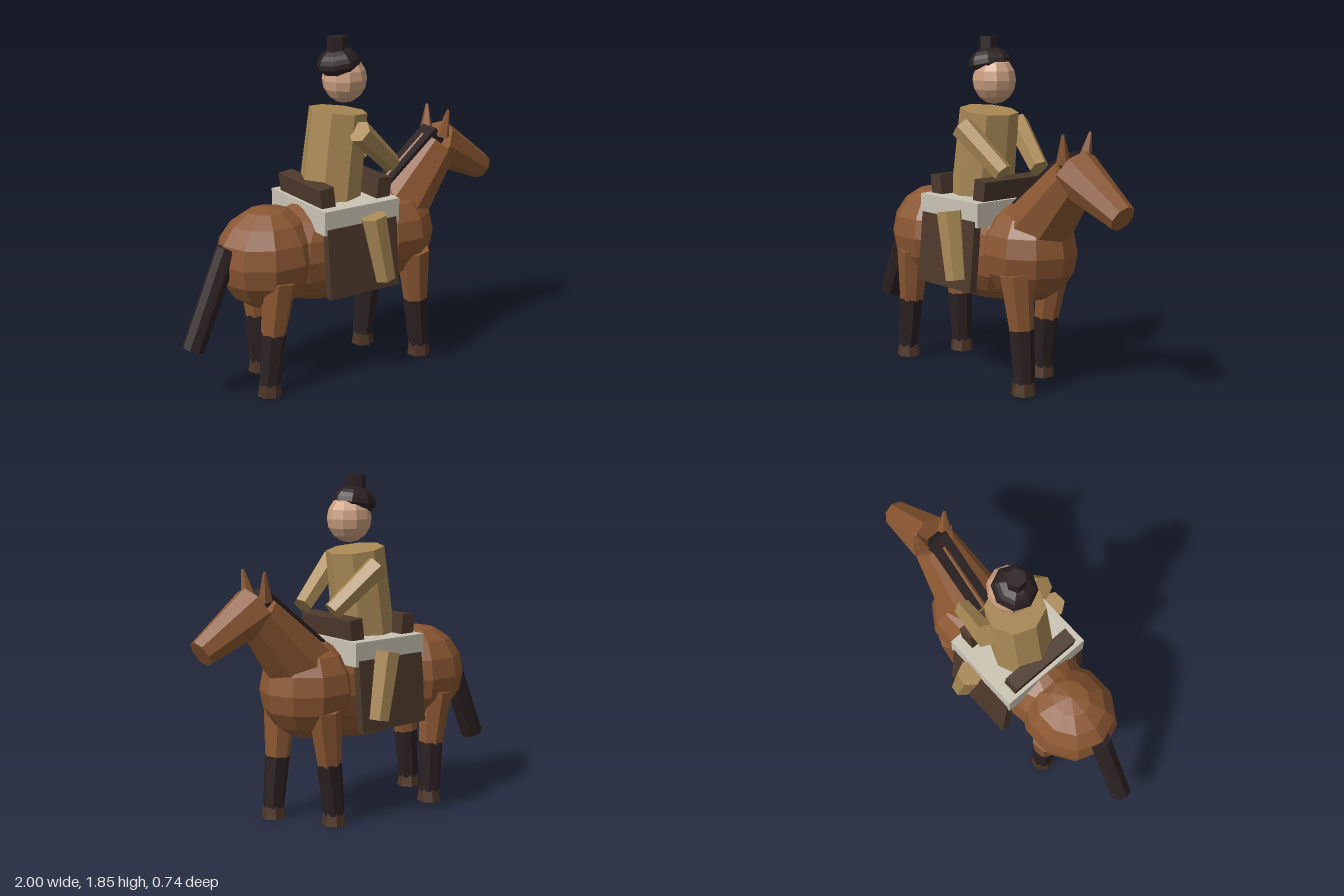
import * as THREE from 'three';

const paint = (name, color) => {
  const m = new THREE.MeshStandardMaterial({ color, flatShading: true });
  m.name = name;
  return m;
};

export function createModel() {
  const coat = paint('chestnut coat', 0x8b5732);
  const black = paint('black hair', 0x2b2022);
  const hoofBrown = paint('hoof brown', 0x4c3526);
  const leather = paint('saddle leather', 0x4d392b);
  const felt = paint('pale felt', 0xcac4b4);
  const cloth = paint('tan cloth', 0xa98955);
  const skin = paint('skin', 0xcb9f80);

  const model = new THREE.Group();
  model.name = 'horseAndRider';
  const horse = new THREE.Group();
  horse.name = 'horse';
  const saddle = new THREE.Group();
  saddle.name = 'saddle';
  const rider = new THREE.Group();
  rider.name = 'rider';
  model.add(horse, saddle, rider);

  const add = (parent, name, geo, mat, [x, y, z], rx = 0, rz = 0) => {
    const m = new THREE.Mesh(geo, mat);
    m.name = name;
    m.position.set(x, y, z);
    m.rotation.set(rx, 0, rz);
    parent.add(m);
    return m;
  };
  // Tapered prism from point a to point b
  const limb = (parent, name, mat, a, b, ra, rb, sides) => {
    const p = new THREE.Vector3(...a), q = new THREE.Vector3(...b);
    const d = q.clone().sub(p);
    const m = add(parent, name, new THREE.CylinderGeometry(rb, ra, d.length(), sides), mat,
      p.clone().add(q).multiplyScalar(0.5).toArray());
    m.quaternion.setFromUnitVectors(new THREE.Vector3(0, 1, 0), d.normalize());
    return m;
  };
  // Faceted ellipsoid
  const blob = (parent, name, mat, pos, [rx, ry, rz], w = 10, h = 8) =>
    add(parent, name, new THREE.SphereGeometry(1, w, h).scale(rx, ry, rz), mat, pos);

  // Body
  blob(horse, 'barrel', coat, [-0.08, 0.71, 0], [0.57, 0.29, 0.25], 12, 8);
  blob(horse, 'rump', coat, [-0.49, 0.72, 0], [0.285, 0.28, 0.255]);
  blob(horse, 'chest', coat, [0.28, 0.73, 0], [0.27, 0.27, 0.255]);

  // Neck, head, ears and mane
  limb(horse, 'neck', coat, [0.33, 0.85, 0], [0.62, 1.17, 0], 0.19, 0.125, 8);
  limb(horse, 'horseHead', coat, [0.62, 1.19, 0], [0.955, 0.995, 0], 0.133, 0.075, 8);
  for (const s of [1, -1]) {
    limb(horse, s > 0 ? 'leftEar' : 'rightEar', coat,
      [0.61, 1.24, 0.075 * s], [0.63, 1.39, 0.098 * s], 0.04, 0.008, 5);
  }
  add(horse, 'mane', new THREE.BoxGeometry(0.47, 0.1, 0.12), black, [0.425, 1.1, 0], 0, 0.69);

  // Tail
  limb(horse, 'tail', black, [-0.73, 0.81, 0], [-0.95, 0.29, 0], 0.062, 0.062, 8);

  // Legs: [name, top x, knee x, foot x, side]
  const legs = [
    ['frontLeft', 0.355, 0.385, 0.41, 1],
    ['frontRight', 0.3, 0.26, 0.23, -1],
    ['hindLeft', -0.515, -0.55, -0.58, 1],
    ['hindRight', -0.5, -0.475, -0.465, -1],
  ];
  for (const [name, top, knee, foot, s] of legs) {
    limb(horse, name + 'UpperLeg', coat, [top, 0.64, 0.16 * s], [knee, 0.34, 0.15 * s], 0.094, 0.068, 7);
    limb(horse, name + 'LowerLeg', black, [knee, 0.345, 0.15 * s], [foot, 0.06, 0.153 * s], 0.07, 0.059, 7);
    add(horse, name + 'Hoof', new THREE.CylinderGeometry(0.057, 0.068, 0.07, 7), hoofBrown,
      [foot, 0.035, 0.153 * s]);
  }

  // Saddle cloth, side flaps, cantle and pommel
  add(saddle, 'saddleCloth', new THREE.BoxGeometry(0.475, 0.13, 0.54), felt, [-0.063, 0.935, 0]);
  for (const s of [1, -1]) {
    add(saddle, s > 0 ? 'leftFlap' : 'rightFlap', new THREE.BoxGeometry(0.44, 0.38, 0.045), leather,
      [-0.065, 0.71, 0.268 * s], -0.09 * s);
  }
  add(saddle, 'cantle', new THREE.BoxGeometry(0.085, 0.15, 0.42), leather, [-0.24, 1.03, 0], 0, 0.13);
  add(saddle, 'pommel', new THREE.BoxGeometry(0.085, 0.15, 0.42), leather, [0.115, 1.035, 0], 0, -0.13);

  // Rider torso, arms and legs
  limb(rider, 'torso', cloth, [-0.1, 0.98, 0], [-0.04, 1.46, 0], 0.172, 0.16, 8);
  for (const s of [1, -1]) {
    const side = s > 0 ? 'left' : 'right';
    limb(rider, side + 'Arm', cloth, [-0.035, 1.38, 0.195 * s], [0.22, 1.155, 0.13 * s], 0.066, 0.054, 6);
    limb(rider, side + 'Leg', cloth, [-0.015, 0.94, 0.3 * s], [0.055, 0.58, 0.315 * s], 0.073, 0.059, 6);
  }

  // Rider head, hair cap and topknot
  blob(rider, 'riderHead', skin, [0, 1.625, 0], [0.123, 0.13, 0.117], 10, 8);
  const cap = new THREE.SphereGeometry(0.12, 8, 6, 0, Math.PI * 2, 0, Math.PI * 0.5).scale(1, 0.78, 0.97);
  const under = new THREE.CylinderGeometry(0.116, 0.095, 0.035, 8, 1, true).translate(0, -0.0175, 0);
  const hair = new THREE.Group();
  hair.name = 'hair';
  hair.position.set(-0.035, 1.705, 0);
  hair.rotation.z = 0.18;
  rider.add(hair);
  add(hair, 'hairCap', cap, black, [0, 0, 0]);
  add(hair, 'hairEdge', under, black, [0, 0, 0]);
  add(rider, 'topknot', new THREE.CylinderGeometry(0.052, 0.052, 0.085, 6), black, [-0.047, 1.812, 0]);

  return model;
}
